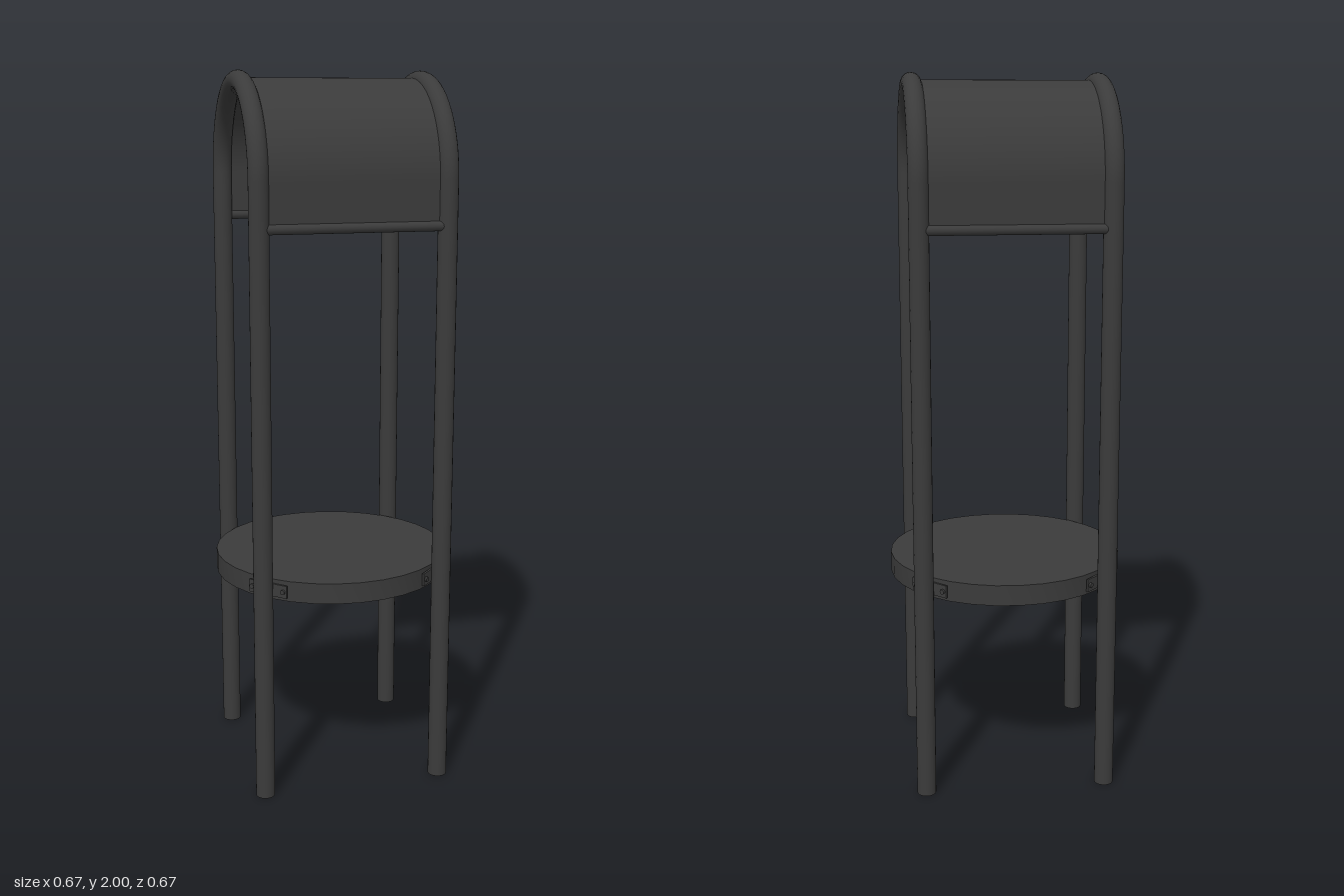
import * as THREE from 'three';
import { toCreasedNormals } from 'three/addons/utils/BufferGeometryUtils.js';

const metal = new THREE.MeshStandardMaterial({ color: 0x3b3b3b });
const SPREAD = 0.257;   // post offset in x and z
const TUBE = 0.027;     // post radius
const ARCH_Y = 1.716;   // height where the arches begin

function add(parent, name, geometry, x = 0, y = 0, z = 0) {
  const mesh = new THREE.Mesh(geometry, metal);
  mesh.name = name;
  mesh.position.set(x, y, z);
  parent.add(mesh);
  return mesh;
}

// Two legs joined by a half-round arch, lying in the yz plane
function sideFrame(side) {
  const frame = new THREE.Group();
  frame.name = side > 0 ? 'leftFrame' : 'rightFrame';
  frame.position.x = side * SPREAD;
  for (const s of [1, -1]) {
    add(frame, s > 0 ? 'frontLeg' : 'backLeg',
      new THREE.CylinderGeometry(TUBE, TUBE, ARCH_Y, 20), 0, ARCH_Y / 2, s * SPREAD);
  }
  const arch = new THREE.TorusGeometry(SPREAD, TUBE, 20, 40, Math.PI).rotateY(Math.PI / 2);
  add(frame, 'arch', arch, 0, ARCH_Y, 0);
  return frame;
}

// Curved sheet between the arches, with a rod along each lower edge
function hood() {
  const group = new THREE.Group();
  group.name = 'hood';
  const outer = 0.264, inner = 0.257, bottom = 1.595, width = 0.47;
  const shape = new THREE.Shape();
  shape.moveTo(outer, bottom);
  shape.lineTo(outer, ARCH_Y);
  shape.absarc(0, ARCH_Y, outer, 0, Math.PI, false);
  shape.lineTo(-outer, bottom);
  shape.lineTo(-inner, bottom);
  shape.lineTo(-inner, ARCH_Y);
  shape.absarc(0, ARCH_Y, inner, Math.PI, 0, true);
  shape.lineTo(inner, bottom);
  const sheet = new THREE.ExtrudeGeometry(shape, { depth: width, bevelEnabled: false, curveSegments: 40 });
  sheet.translate(0, 0, -width / 2).rotateY(Math.PI / 2);
  add(group, 'hoodSheet', toCreasedNormals(sheet, 0.6));
  for (const s of [1, -1]) {
    const rod = new THREE.CylinderGeometry(0.0135, 0.0135, 0.5, 14).rotateZ(Math.PI / 2);
    add(group, s > 0 ? 'frontRod' : 'backRod', rod, 0, bottom, s * 0.264);
  }
  return group;
}

// Round shelf, a thin top with a turned-down rim, open underneath
function shelf() {
  const profile = [[0, 0.632], [0.329, 0.632], [0.329, 0.582], [0.335, 0.582], [0.335, 0.64], [0, 0.64]]
    .map(([r, y]) => new THREE.Vector2(r, y));
  return toCreasedNormals(new THREE.LatheGeometry(profile, 32), 0.6);
}

// Small plate with two bolts fixing the shelf rim to a post
function bracket(angle) {
  const group = new THREE.Group();
  group.name = 'shelfBracket';
  group.position.y = 0.611;
  group.rotation.y = angle;
  add(group, 'plate', new THREE.BoxGeometry(0.122, 0.036, 0.006), 0, 0, 0.338);
  for (const s of [1, -1]) {
    const bolt = new THREE.CylinderGeometry(0.007, 0.007, 0.008, 12).rotateX(Math.PI / 2);
    add(group, 'bolt', bolt, s * 0.05, 0, 0.343);
  }
  return group;
}

export function createModel() {
  const model = new THREE.Group();
  model.name = 'hoodedStand';
  model.add(sideFrame(1), sideFrame(-1), hood());
  add(model, 'shelf', shelf());
  for (let i = 0; i < 4; i++) model.add(bracket(Math.PI / 4 + i * Math.PI / 2));
  return model;
}
